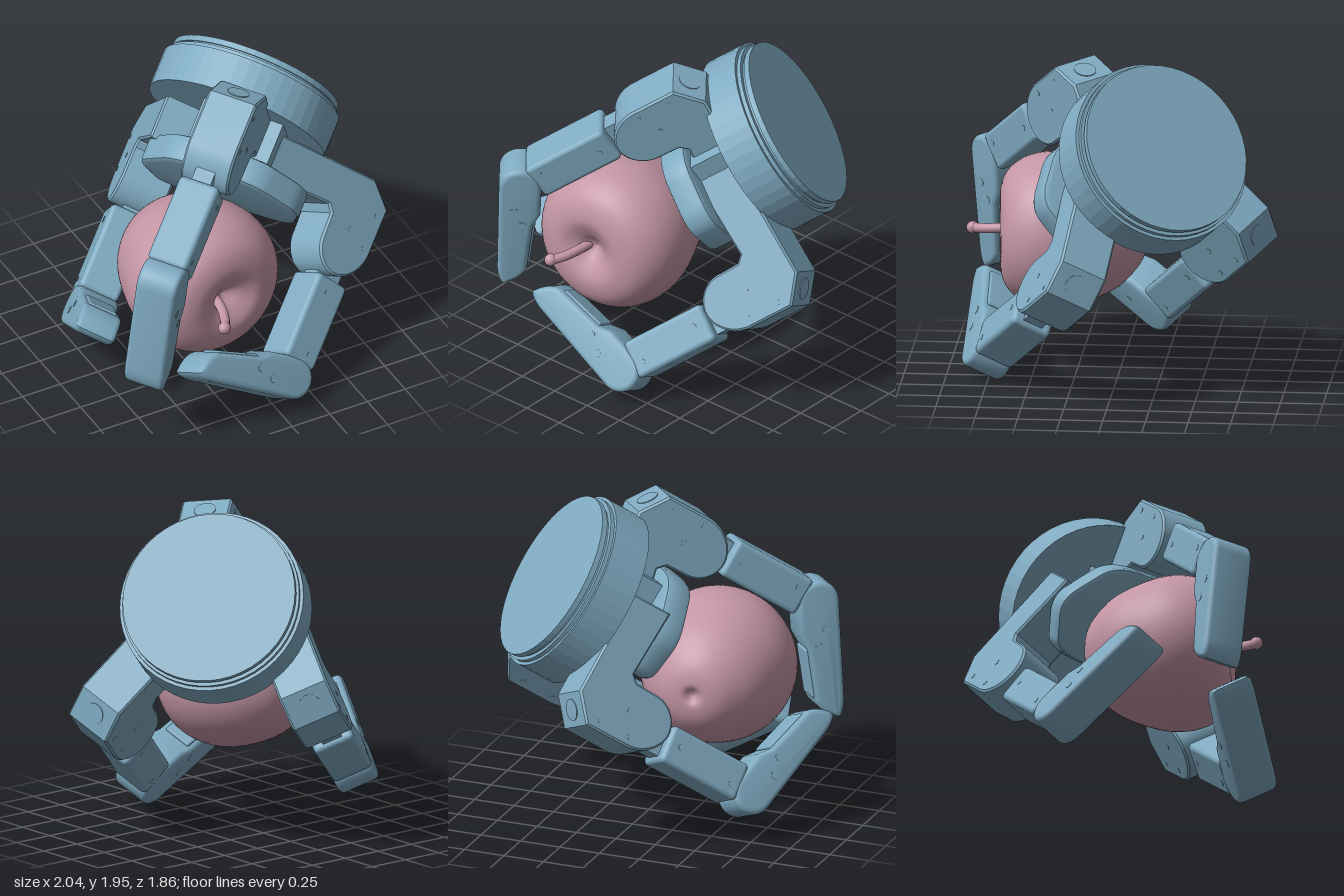
import * as THREE from 'three';
import { RoundedBoxGeometry } from 'three/addons/geometries/RoundedBoxGeometry.js';
import { toCreasedNormals } from 'three/addons/utils/BufferGeometryUtils.js';

const V = (x, y, z) => new THREE.Vector3(x, y, z);
const steel = new THREE.MeshStandardMaterial({ color: 0x80abc2 });
const fruit = new THREE.MeshStandardMaterial({ color: 0xc496a5 });

// Local y runs from the mounting face out towards the fingertips
const origin = V(0.48, 1.53, -0.33);
const axis = V(-0.68, -0.55, 0.485).normalize();

function add(parent, name, geometry, x = 0, y = 0, z = 0, material = steel) {
  const mesh = new THREE.Mesh(geometry, material);
  mesh.name = name;
  mesh.position.set(x, y, z);
  parent.add(mesh);
  return mesh;
}

// Side profile extruded to a width centred on z = 0, with rounded borders
function slab(shape, width, bevel, segments = 3) {
  const depth = width - 2 * bevel;
  const g = new THREE.ExtrudeGeometry(shape, {
    depth, bevelEnabled: true, bevelThickness: bevel, bevelSize: bevel,
    bevelOffset: -bevel, bevelSegments: segments, curveSegments: 12,
  });
  g.translate(0, 0, -depth / 2);
  return toCreasedNormals(g, 0.6);
}

// Group whose x points along `radial`, y along the gripper axis
function frame(name, radial, out = 0, side = 0) {
  const z = radial.clone().cross(axis).normalize();
  const x = axis.clone().cross(z);
  const group = new THREE.Group();
  group.name = name;
  group.applyMatrix4(new THREE.Matrix4().makeBasis(x, axis, z));
  group.position.copy(origin).addScaledVector(x, out).addScaledVector(z, side);
  return group;
}

// L-shaped base link: sloping arm from the palm, chamfered corner, rounded knuckle
function baseShape(reach) {
  const s = new THREE.Shape();
  s.moveTo(-reach, 0.34);
  s.lineTo(-0.165, 0.26);
  s.lineTo(0, 0.38);
  s.lineTo(0, 0.68);
  s.quadraticCurveTo(-0.01, 0.79, -0.1, 0.86);
  s.quadraticCurveTo(-0.19, 0.92, -0.28, 0.87);
  s.quadraticCurveTo(-0.37, 0.81, -0.365, 0.7);
  s.lineTo(-0.37, 0.58);
  s.lineTo(-0.41, 0.54);
  s.lineTo(-reach, 0.61);
  s.closePath();
  return s;
}

// Fingertip: round joint end, straight back ending in a lip, slanted blunt end
function tipShape() {
  const s = new THREE.Shape();
  s.moveTo(0, -0.125);
  s.lineTo(0.6, -0.115);
  s.quadraticCurveTo(0.68, -0.11, 0.715, -0.08);
  s.lineTo(0.7, -0.04);
  s.quadraticCurveTo(0.66, 0.04, 0.6, 0.06);
  s.lineTo(0.28, 0.085);
  s.lineTo(0.2, 0.125);
  s.lineTo(0, 0.125);
  s.absarc(0, 0, 0.125, Math.PI / 2, Math.PI * 1.5, false);
  return s;
}

function screw(parent, x, y, width, radius = 0.024) {
  const g = new THREE.CylinderGeometry(radius, radius, width, 16);
  add(parent, 'screw', g.rotateX(Math.PI / 2), x, y);
}

function makeFinger(name, radial, out, side, reach, curl) {
  const finger = frame(name, radial, out, side);
  add(finger, 'baseLink', slab(baseShape(reach), 0.3, 0.012, 1));

  // Round cover on the chamfered corner
  const cover = add(finger, 'cornerCover', new THREE.CylinderGeometry(0.065, 0.065, 0.01, 24), -0.0825, 0.32);
  cover.rotation.z = Math.atan2(-0.12, -0.165);
  for (const [x, y] of [[-0.06, 0.45], [-0.06, 0.66], [-0.2, 0.6]]) screw(finger, x, y, 0.304, 0.016);

  // Middle link with a narrow neck at either end
  add(finger, 'knuckleNeck', new THREE.BoxGeometry(0.17, 0.34, 0.12), -0.15, 0.88);
  add(finger, 'middleLink', new RoundedBoxGeometry(0.235, 0.54, 0.25, 3, 0.03), -0.15, 1.18);
  add(finger, 'tipNeck', new THREE.BoxGeometry(0.17, 0.2, 0.15), -0.14, 1.47);
  screw(finger, -0.16, 1.0, 0.254, 0.018);
  screw(finger, -0.11, 1.38, 0.254, 0.018);

  // Curled fingertip
  const tip = new THREE.Group();
  tip.name = 'fingertip';
  tip.position.set(-0.13, 1.54, 0);
  tip.rotation.z = curl;
  finger.add(tip);
  add(tip, 'tipShell', slab(tipShape(), 0.25, 0.03, 4));
  add(tip, 'tipPad', new RoundedBoxGeometry(0.3, 0.04, 0.18, 2, 0.012), 0.43, 0.067).rotation.z = -0.08;
  screw(tip, 0.17, -0.03, 0.254);
  screw(tip, 0.27, 0.02, 0.254);
  return finger;
}

function makeBody() {
  const body = frame('gripperBody', V(-0.366, 0.828, 0.425));

  // Mounting drum: end plate, groove, collar and main ring
  for (const [name, radius, from, to] of [
    ['endPlate', 0.516, 0, 0.035], ['groove', 0.505, 0.03, 0.055],
    ['collar', 0.53, 0.05, 0.075], ['drum', 0.55, 0.075, 0.31],
  ]) {
    const g = new THREE.CylinderGeometry(radius, radius, to - from, 48);
    add(body, name, toCreasedNormals(g, 0.1), 0, (from + to) / 2);
  }

  // Core joining the drum to the palm
  add(body, 'palmCore', new THREE.BoxGeometry(0.5, 0.36, 0.5), 0.02, 0.44, 0.08);

  // Palm plate: long rounded hexagon lying across the axis
  const corners = [[0.35, 0.26], [0.05, 0.52], [-0.27, 0.42], [-0.27, -0.42], [0.05, -0.52], [0.35, -0.26]];
  const shape = new THREE.Shape();
  corners.forEach(([x, y], i) => {
    const p = corners[(i + 5) % 6], n = corners[(i + 1) % 6];
    const a = [x + (p[0] - x) * 0.3, y + (p[1] - y) * 0.3];
    const b = [x + (n[0] - x) * 0.3, y + (n[1] - y) * 0.3];
    if (i) shape.lineTo(...a); else shape.moveTo(...a);
    shape.quadraticCurveTo(x, y, ...b);
  });
  shape.closePath();
  add(body, 'palmPlate', slab(shape, 0.17, 0.03, 2), 0, 0.655, 0.06).rotation.x = Math.PI / 2;
  return body;
}

function makeApple() {
  const apple = new THREE.Group();
  apple.name = 'apple';
  // Profile from the lower dimple to the stem dimple
  const profile = new THREE.SplineCurve([
    [0.001, -0.4], [0.025, -0.41], [0.08, -0.435], [0.2, -0.395], [0.34, -0.26], [0.43, -0.06],
    [0.46, 0.11], [0.43, 0.27], [0.34, 0.385], [0.21, 0.425], [0.11, 0.39], [0.04, 0.34], [0.001, 0.32],
  ].map(([r, y]) => new THREE.Vector2(r, y))).getPoints(60);
  profile.forEach((p) => { p.x = Math.max(p.x, 0); });
  const flesh = add(apple, 'flesh', new THREE.LatheGeometry(profile, 64), -0.29, 0.825, 0.285, fruit);
  flesh.rotation.set(Math.PI / 2, 0, -0.1);

  // Curved stem, thicker at its end
  const path = new THREE.CatmullRomCurve3([
    V(-0.31, 0.82, 0.58), V(-0.32, 0.815, 0.72), V(-0.35, 0.805, 0.82), V(-0.39, 0.8, 0.89)]);
  add(apple, 'stem', new THREE.TubeGeometry(path, 20, 0.029, 12), 0, 0, 0, fruit);
  add(apple, 'stemEnd', new THREE.SphereGeometry(0.037, 16, 12), -0.385, 0.8, 0.88, fruit);
  return apple;
}

export function createModel() {
  const model = new THREE.Group();
  model.name = 'gripperHoldingApple';
  model.add(
    makeBody(),
    makeFinger('upperFinger', V(-0.366, 0.828, 0.425), 0.74, 0.1, 0.72, 2.52),
    makeFinger('rearFinger', V(0.11, -0.73, -0.67), 0.83, 0.29, 0.84, 2.85),
    makeFinger('frontFinger', V(0.69, -0.7, 0.18), 1.0, -0.2, 0.94, 2.83),
    makeApple(),
  );
  return model;
}
